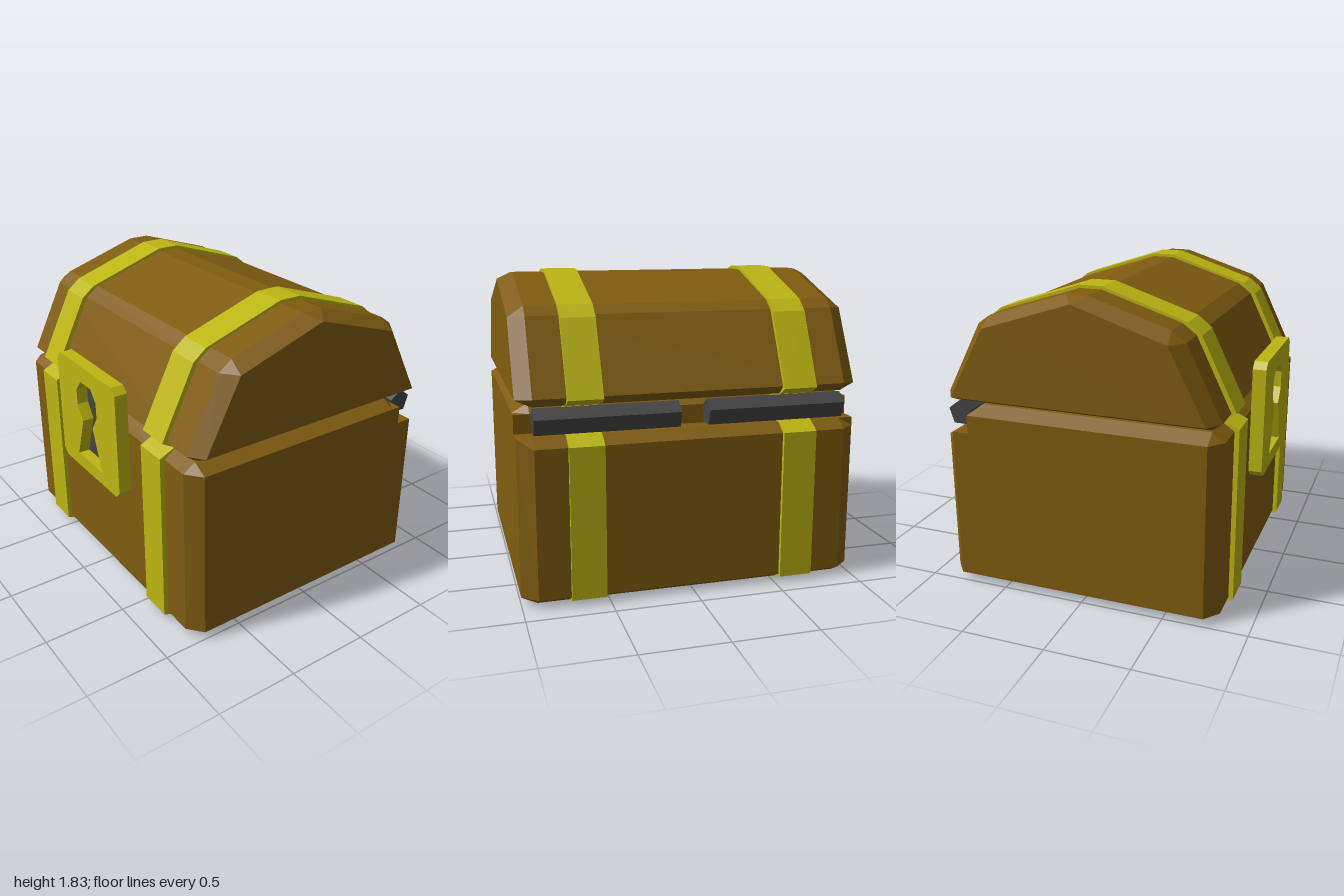
import * as THREE from 'three';

const material = (name, color) => {
  const m = new THREE.MeshStandardMaterial({ color });
  m.name = name;
  return m;
};

// Closed solid through equal-length outlines, each { z, pts } counter-clockwise, back to front.
function loft(sections) {
  const pos = [];
  const put = (s, i) => pos.push(s.pts[i][0], s.pts[i][1], s.z);
  const n = sections[0].pts.length;
  for (let k = 0; k < sections.length - 1; k++) {
    const a = sections[k], b = sections[k + 1];
    for (let i = 0; i < n; i++) {
      const j = (i + 1) % n;
      put(a, i); put(a, j); put(b, j);
      put(a, i); put(b, j); put(b, i);
    }
  }
  const cap = (s, flip) => {
    // Merge repeated corners before filling the end face
    const ids = s.pts.map((_, i) => i).filter(i => {
      const p = s.pts[i], q = s.pts[(i + 1) % n];
      return p[0] !== q[0] || p[1] !== q[1];
    });
    const contour = ids.map(i => new THREE.Vector2(...s.pts[i]));
    for (const [a, b, c] of THREE.ShapeUtils.triangulateShape(contour, [])) {
      for (const t of flip ? [a, c, b] : [a, b, c]) put(s, ids[t]);
    }
  };
  cap(sections[0], true);
  cap(sections[sections.length - 1], false);
  const g = new THREE.BufferGeometry();
  g.setAttribute('position', new THREE.Float32BufferAttribute(pos, 3));
  g.computeVertexNormals();
  return g;
}

// Block whose ends shrink from the outer to the inner outline
const bevelled = (outer, inner) => loft([
  { z: -1, pts: inner }, { z: -0.91, pts: outer },
  { z: 0.91, pts: outer }, { z: 1, pts: inner },
]);

const shapeOf = pts => new THREE.Shape(pts.map(p => new THREE.Vector2(...p)));
const extrude = (shape, depth) => new THREE.ExtrudeGeometry(shape, { depth, bevelEnabled: false });

export function createModel() {
  const wood = material('wood brown', 0x805c10);
  const gold = material('gold trim', 0xbdb612);
  const iron = material('dark iron', 0x444446);
  const model = new THREE.Group();
  model.name = 'treasureChest';

  const add = (name, geometry, mat) => {
    const mesh = new THREE.Mesh(geometry, mat);
    mesh.name = name;
    model.add(mesh);
    return mesh;
  };

  // Lower box with a hinge notch along its +x top edge
  add('body', bevelled(
    [[-0.74, 0.006], [0.795, 0.006], [0.87, 0.05], [0.87, 0.92], [0.795, 0.97], [0.695, 0.97],
      [0.695, 1.08], [0.635, 1.13], [-0.74, 1.13], [-0.815, 1.08], [-0.815, 0.05]],
    [[-0.74, 0.05], [0.795, 0.05], [0.795, 0.05], [0.795, 0.92], [0.795, 0.97], [0.695, 0.97],
      [0.695, 1.08], [0.635, 1.08], [-0.74, 1.08], [-0.74, 1.08], [-0.74, 0.05]],
  ), wood);

  // Faceted arched lid
  add('lid', bevelled(
    [[-0.74, 1.14], [0.8, 1.14], [0.85, 1.19], [0.63, 1.61], [0.56, 1.66], [0.09, 1.81],
      [-0.04, 1.81], [-0.51, 1.66], [-0.59, 1.6], [-0.795, 1.18]],
    [[-0.73, 1.18], [0.79, 1.18], [0.79, 1.18], [0.565, 1.6], [0.565, 1.6], [0.025, 1.775],
      [0.025, 1.775], [-0.515, 1.6], [-0.515, 1.6], [-0.73, 1.18]],
  ), wood);

  // Metal bands and hinge bars, one of each per end
  const bodyBand = shapeOf([[-0.75, 0], [0.8, 0], [0.893, 0.04], [0.893, 0.925], [0.8, 0.977],
    [0.7, 0.977], [0.72, 1.09], [0.645, 1.135], [-0.75, 1.135], [-0.843, 1.09], [-0.843, 0.04]]);
  const lidBand = shapeOf([[-0.75, 1.138], [0.81, 1.138], [0.877, 1.18], [0.67, 1.6], [0.59, 1.665],
    [0.095, 1.828], [-0.045, 1.828], [-0.54, 1.665], [-0.62, 1.6], [-0.825, 1.18]]);
  const hingeBar = shapeOf([[0.75, 0.99], [0.837, 0.99], [0.866, 1.08], [0.795, 1.133], [0.721, 1.08]]);
  for (const [side, s] of [['front', 1], ['back', -1]]) {
    add(side + 'BodyBand', extrude(bodyBand, 0.2), gold).position.z = s * 0.625 - 0.1;
    add(side + 'LidBand', extrude(lidBand, 0.2), gold).position.z = s * 0.625 - 0.1;
    add(side + 'HingeBar', extrude(hingeBar, 0.825), iron).position.z = s * 0.495 - 0.4125;
  }

  // Lock plate with clipped corners and a keyhole
  const plate = shapeOf([[-0.315, -0.355], [0.315, -0.355], [0.355, -0.315], [0.355, 0.315],
    [0.315, 0.355], [-0.315, 0.355], [-0.355, 0.315], [-0.355, -0.315]]);
  const half = [[0.15, -0.27], [0.06, -0.01], [0.12, 0.08], [0.12, 0.18], [0.06, 0.25]];
  const keyhole = [...half, ...half.map(([x, y]) => [-x, y]).reverse()];
  plate.holes.push(shapeOf(keyhole));
  const lock = add('lockPlate', extrude(plate, 0.08), gold);
  const backing = add('keyholeBacking', extrude(shapeOf(keyhole), 0.008), iron);
  for (const [part, x] of [[lock, -0.82], [backing, -0.822]]) {
    part.rotation.y = -Math.PI / 2;
    part.position.set(x, 1.018, 0);
  }
  return model;
}
